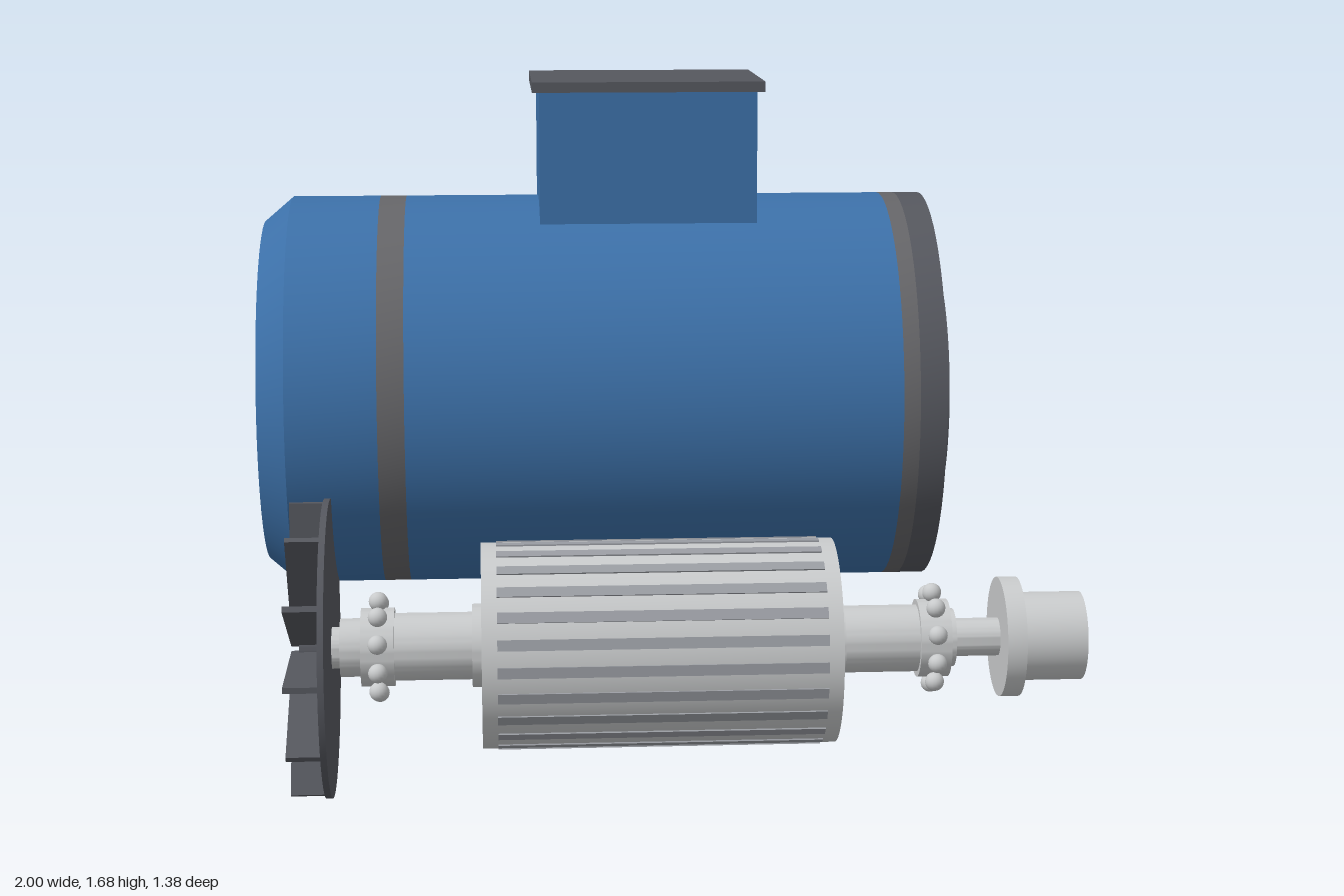
import * as THREE from 'three';
import { toCreasedNormals } from 'three/addons/utils/BufferGeometryUtils.js';

const paint = (name, color) => {
  const m = new THREE.MeshStandardMaterial({ color, side: THREE.DoubleSide });
  m.name = name;
  return m;
};

export function createModel() {
  const model = new THREE.Group();
  model.name = 'electricMotor';
  const blue = paint('housingBlue', 0x3c70a8);
  const dark = paint('darkGrey', 0x55575e);
  const band = paint('bandGrey', 0x656568);
  const steel = paint('lightSteel', 0xc8cacb);
  const slotGrey = paint('slotGrey', 0x999ca2);

  const add = (parent, name, geometry, material, x = 0, y = 0, z = 0) => {
    const mesh = new THREE.Mesh(geometry, material);
    mesh.name = name;
    mesh.position.set(x, y, z);
    parent.add(mesh);
    return mesh;
  };
  // Turned part about the x axis; profile is [x, radius] pairs
  const turned = (parent, name, profile, material) => {
    const points = profile.map(([x, r]) => new THREE.Vector2(r, x));
    const g = new THREE.LatheGeometry(points, 64).rotateZ(-Math.PI / 2);
    return add(parent, name, toCreasedNormals(g, 0.5), material);
  };

  // Housing, hollow and open at the -x end
  const housing = new THREE.Group();
  housing.name = 'housing';
  housing.position.set(0, 0.895, -0.2);
  model.add(housing);
  const R = 0.49;
  turned(housing, 'chamferedEnd', [[-1, 0.21], [-1, 0.43], [-0.93, R], [-0.71, R]], blue);
  turned(housing, 'rearBand', [[-0.71, R], [-0.645, R]], band);
  turned(housing, 'barrel', [[-0.645, R], [0.555, R]], blue);
  turned(housing, 'frontBand', [[0.555, R], [0.595, R]], band);
  turned(housing, 'endCap', [[0.595, 0.06], [0.595, R], [0.66, R], [0.66, 0.34], [0.69, 0.34],
    [0.69, 0.18], [0.71, 0.18], [0.71, 0.06], [0.595, 0.06]], dark);

  // Terminal box and lid
  add(model, 'terminalBox', new THREE.BoxGeometry(0.535, 0.33, 0.42), blue, -0.045, 1.495, -0.2);
  add(model, 'terminalLid', new THREE.BoxGeometry(0.57, 0.025, 0.46), dark, -0.045, 1.673, -0.2);

  // Four feet
  for (const sx of [-1, 1]) for (const sz of [-1, 1]) {
    add(model, 'foot', new THREE.BoxGeometry(0.22, 0.2, 0.2), blue,
      -0.045 + sx * 0.235, 0.46, -0.2 + sz * 0.38);
  }

  // Rotor assembly beside the housing
  const rotor = new THREE.Group();
  rotor.name = 'rotor';
  rotor.position.set(0, 0.36, 0.335);
  model.add(rotor);

  turned(rotor, 'shaft', [[-0.84, 0], [-0.84, 0.05], [-0.805, 0.05], [-0.805, 0.07], [-0.755, 0.07],
    [-0.755, 0.094], [-0.675, 0.094], [-0.675, 0.081], [-0.49, 0.081], [-0.49, 0.1], [-0.4, 0.1],
    [0.32, 0.1], [0.403, 0.1], [0.403, 0.081], [0.585, 0.081], [0.585, 0.094], [0.66, 0.094],
    [0.66, 0.07], [0.675, 0.07], [0.675, 0.046], [0.785, 0.046], [0.785, 0.145], [0.832, 0.145],
    [0.832, 0.107], [0.987, 0.107], [0.987, 0.046], [1, 0.046], [1, 0]], steel);

  // Rotor core with recessed end faces
  turned(rotor, 'core', [[-0.43, 0.205], [-0.467, 0.205], [-0.467, 0.247], [0.38, 0.247],
    [0.38, 0.205], [0.343, 0.205]], steel);
  for (const x of [-0.43, 0.343]) {
    turned(rotor, 'coreEndFace', [[x, 0.09], [x, 0.205]], slotGrey);
  }
  // Conductor bars around the core
  const bars = 24;
  for (let i = 0; i < bars; i++) {
    const a = (i / bars) * Math.PI * 2;
    const bar = add(rotor, 'conductorBar', new THREE.BoxGeometry(0.775, 0.008, 0.026), slotGrey,
      -0.043, Math.cos(a) * 0.246, Math.sin(a) * 0.246);
    bar.rotation.x = a;
  }

  // Ball bearings
  const ball = new THREE.SphereGeometry(0.023, 16, 12);
  for (const x of [-0.713, 0.622]) {
    for (let i = 0; i < 10; i++) {
      const a = (i / 10) * Math.PI * 2;
      add(rotor, 'bearingBall', ball, steel, x, Math.cos(a) * 0.113, Math.sin(a) * 0.113);
    }
  }

  // Cooling fan: back plate, hub and radial blades
  turned(rotor, 'fanPlate', [[-0.84, 0], [-0.84, 0.358], [-0.825, 0.358], [-0.825, 0]], dark);
  turned(rotor, 'fanHub', [[-0.9, 0], [-0.9, 0.06], [-0.83, 0.06]], dark);
  for (let i = 0; i < 12; i++) {
    const a = (i / 12) * Math.PI * 2;
    const blade = add(rotor, 'fanBlade', new THREE.BoxGeometry(0.08, 0.31, 0.014), dark,
      -0.879, Math.cos(a) * 0.202, Math.sin(a) * 0.202);
    blade.rotation.x = a;
  }
  return model;
}
